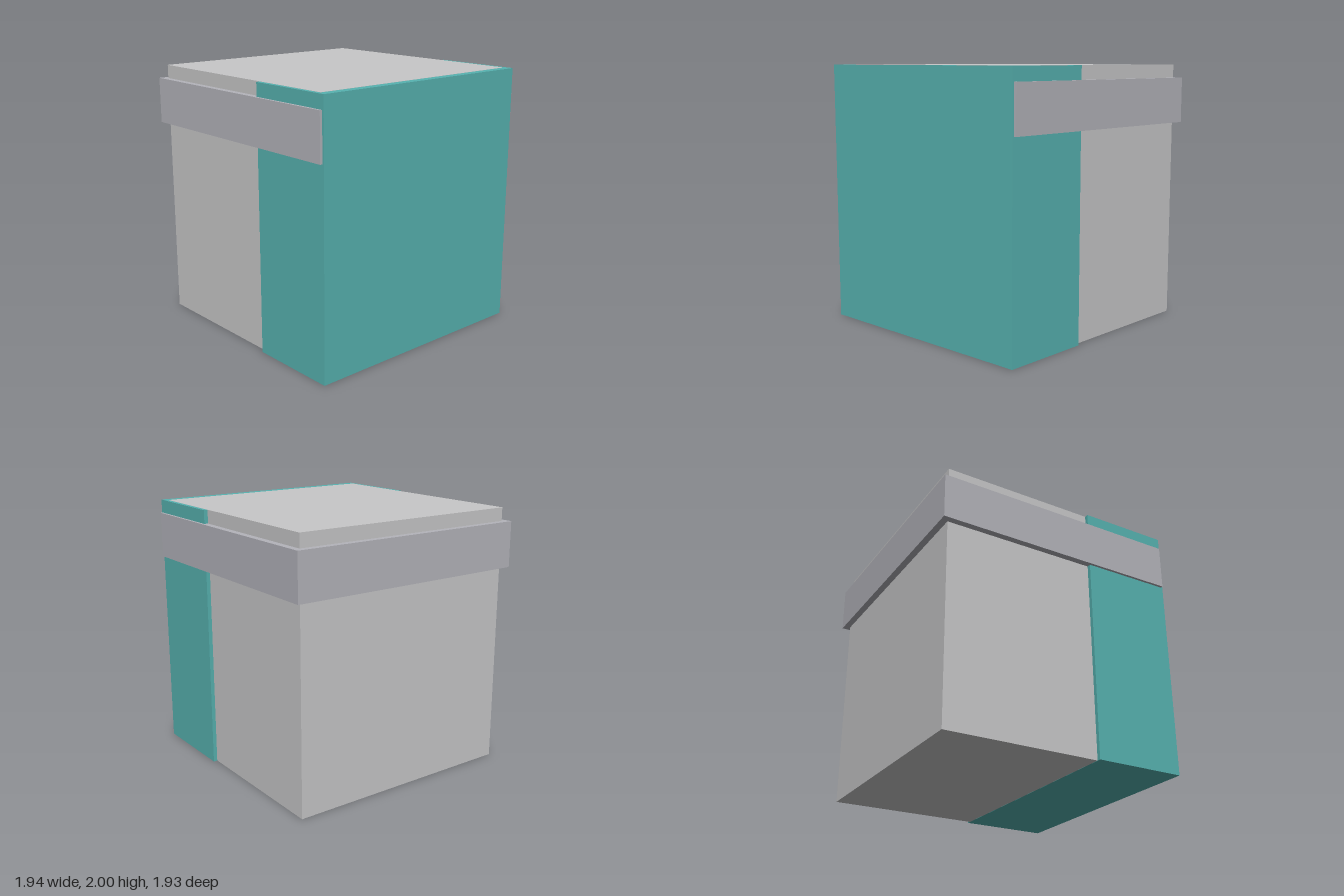
import * as THREE from 'three';

const material = (name, color) => {
  const m = new THREE.MeshStandardMaterial({ color });
  m.name = name;
  return m;
};

// Box given by its x and y ranges and its half depth, centred on z = 0
function slab(name, x0, x1, y0, y1, halfDepth, mat) {
  const mesh = new THREE.Mesh(new THREE.BoxGeometry(x1 - x0, y1 - y0, halfDepth * 2), mat);
  mesh.position.set((x0 + x1) / 2, (y0 + y1) / 2, 0);
  mesh.name = name;
  return mesh;
}

export function createModel() {
  const group = new THREE.Group();
  group.name = 'bandedBlock';
  const lightGrey = material('light grey', 0xc8c8c9);
  const teal = material('teal', 0x57b3b1);
  const bandGrey = material('band grey', 0xb4b4bb);

  group.add(
    // Main block, offset slightly from the cladding so top and bottom faces do not flicker
    slab('mainBlock', -0.922, 0.905, 0.001, 2, 0.916, lightGrey),
    // Cladding wrapped around the left end
    slab('sideCladding', 0.27, 0.97, 0, 1.999, 0.946, teal),
    // Projecting band near the top, stopping just short of the cladding's outer face
    slab('upperBand', -0.973, 0.955, 1.548, 1.898, 0.966, bandGrey),
  );
  return group;
}
